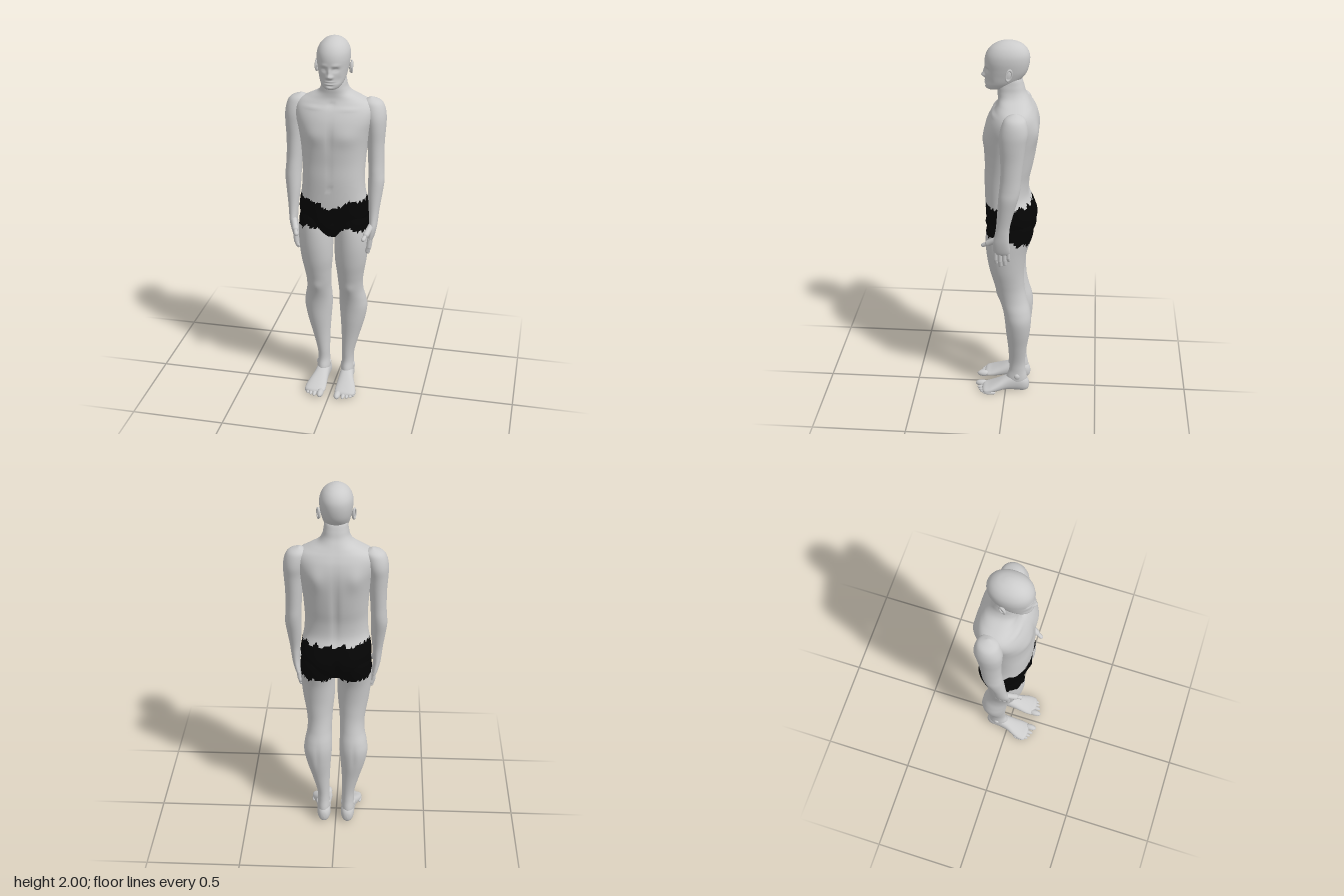
import * as THREE from 'three';
import { mergeVertices } from 'three/addons/utils/BufferGeometryUtils.js';

const skin = new THREE.MeshStandardMaterial({ color: 0xcccccc });
const cloth = new THREE.MeshStandardMaterial({ color: 0x050505 });

const cubic = (a, b, c, d, t) =>
  b + 0.5 * t * (c - a + t * (2 * a - 5 * b + 4 * c - d + t * (3 * (b - c) + d - a)));

// Smooth loft upward through sections [y, centreX, halfWidth, zFront, zBack].
// Bumps [x, y, spreadX, spreadY, depth, side] push the front (1) or back (-1), mirrored in x.
function loft(sections, { cols = 40, steps = 5, power = 2, s = 1, bumps = [] } = {}) {
  const pos = [], idx = [], last = sections.length - 1, rows = last * steps;
  const at = (i) => sections[Math.min(last, Math.max(0, i))];
  for (let r = 0; r <= rows; r++) {
    const i = Math.min(last - 1, Math.floor(r / steps)), t = r / steps - i;
    const [y, cx, w, zf, zb] = at(i).map((v, k) => cubic(at(i - 1)[k], v, at(i + 1)[k], at(i + 2)[k], t));
    const zc = (zf + zb) / 2, h = (zf - zb) / 2;
    for (let c = 0; c <= cols; c++) {
      const a = ((c % cols) / cols) * Math.PI * 2, ca = Math.cos(a), sa = Math.sin(a);
      const x = cx * s + Math.max(0, w) * Math.sign(ca) * Math.abs(ca) ** (2 / power);
      let z = zc + h * Math.sign(sa) * Math.abs(sa) ** (2 / power);
      const depth = z - zc;
      for (const [bx, by, sx, sy, d, side] of bumps) {
        const k = Math.min(1, Math.max(0, (side * depth) / 0.03));
        const dx = bx ? Math.abs(x) - bx : x;
        z += side * d * k * Math.exp(-((dx / sx) ** 2) - ((y - by) / sy) ** 2);
      }
      pos.push(x, y, z);
      if (r < rows && c < cols) {
        const p = r * (cols + 1) + c, u = p + cols + 1;
        idx.push(p, u, p + 1, p + 1, u, u + 1);
      }
    }
  }
  let g = new THREE.BufferGeometry();
  g.setAttribute('position', new THREE.Float32BufferAttribute(pos, 3));
  g.setIndex(idx);
  g = mergeVertices(g, 1e-5);
  g.computeVertexNormals();
  return g;
}

function add(group, name, geometry, material = skin) {
  const m = new THREE.Mesh(geometry, material);
  m.name = name;
  group.add(m);
  return m;
}

// Splits a surface into skin and shorts, triangle by triangle
function addDressed(group, name, g, covered) {
  const p = g.attributes.position, index = g.index.array, parts = [[], []];
  const mid = (f, i) => (p[f](index[i]) + p[f](index[i + 1]) + p[f](index[i + 2])) / 3;
  for (let i = 0; i < index.length; i += 3) {
    const k = covered(mid('getX', i), mid('getY', i), mid('getZ', i)) ? 1 : 0;
    parts[k].push(index[i], index[i + 1], index[i + 2]);
  }
  parts.forEach((list, k) => {
    const part = g.clone();
    part.setIndex(list);
    add(group, k ? name + 'Shorts' : name, part, k ? cloth : skin);
  });
}

// Rounded rod between two points
function rod(group, name, a, b, radius) {
  const from = new THREE.Vector3(...a), to = new THREE.Vector3(...b), dir = to.clone().sub(from);
  const m = add(group, name, new THREE.CapsuleGeometry(radius, dir.length(), 6, 14));
  m.position.copy(from).add(to).multiplyScalar(0.5);
  m.quaternion.setFromUnitVectors(new THREE.Vector3(0, 1, 0), dir.normalize());
}

function ball(group, name, at, size) {
  const m = add(group, name, new THREE.SphereGeometry(1, 20, 14));
  m.position.set(...at);
  m.scale.set(...size);
  return m;
}

// Ragged waist and leg edges of the shorts
const ragged = (x, z) => 0.008 * Math.sin(x * 85 + z * 60) + 0.005 * Math.sin(x * 190 - z * 130);
const belowWaist = (x, y, z) =>
  y < 1.16 - (z > 0 ? 0.04 * Math.exp(-((x / 0.06) ** 2)) : 0) + ragged(x, z);
const aboveHem = (x, y, z) =>
  y > 0.985 + 0.25 * z - 0.03 * Math.exp(-((x / 0.05) ** 2)) + ragged(x, z);

const TORSO = [
  [0.92, 0, 0, -0.01, -0.03], [0.94, 0, 0.05, 0.05, -0.08], [0.98, 0, 0.12, 0.085, -0.13],
  [1.02, 0, 0.165, 0.1, -0.152], [1.08, 0, 0.184, 0.105, -0.158], [1.14, 0, 0.178, 0.108, -0.142],
  [1.2, 0, 0.166, 0.11, -0.118], [1.28, 0, 0.161, 0.112, -0.12], [1.36, 0, 0.164, 0.11, -0.137],
  [1.44, 0, 0.171, 0.113, -0.152], [1.52, 0, 0.184, 0.114, -0.163], [1.58, 0, 0.198, 0.104, -0.164],
  [1.63, 0, 0.2, 0.082, -0.155], [1.665, 0, 0.182, 0.057, -0.14], [1.69, 0, 0.135, 0.045, -0.126],
  [1.715, 0, 0.088, 0.043, -0.112], [1.745, 0, 0.068, 0.045, -0.096], [1.78, 0, 0.061, 0.042, -0.086],
  [1.82, 0, 0.05, 0.02, -0.07], [1.84, 0, 0, -0.02, -0.03],
];
const TORSO_BUMPS = [
  [0.085, 1.51, 0.06, 0.045, 0.008, 1], [0, 1.5, 0.014, 0.08, -0.005, 1], [0, 1.235, 0.008, 0.01, -0.009, 1],
  [0, 1.33, 0.012, 0.06, -0.003, 1], [0.09, 1.648, 0.05, 0.008, 0.005, 1], [0, 1.665, 0.016, 0.012, -0.006, 1],
  [0, 1.01, 0.03, 0.03, 0.012, 1], [0, 1.38, 0.016, 0.2, -0.009, -1], [0.1, 1.55, 0.04, 0.06, 0.011, -1],
  [0.085, 1.05, 0.05, 0.045, 0.008, -1], [0, 1.02, 0.014, 0.06, -0.02, -1],
];
const HEAD = [
  [1.75, 0, 0, 0.07, 0.06], [1.753, 0, 0.022, 0.09, 0.03], [1.76, 0, 0.04, 0.1, 0],
  [1.778, 0, 0.055, 0.105, -0.035], [1.8, 0, 0.065, 0.104, -0.065], [1.83, 0, 0.072, 0.105, -0.092],
  [1.86, 0, 0.078, 0.106, -0.107], [1.9, 0, 0.083, 0.108, -0.115], [1.935, 0, 0.08, 0.1, -0.113],
  [1.965, 0, 0.066, 0.08, -0.097], [1.986, 0, 0.044, 0.05, -0.07], [1.997, 0, 0.02, 0.018, -0.036],
  [2.0, 0, 0, -0.009, -0.01],
];
const FACE = [
  [0, 1.823, 0.012, 0.012, 0.019, 1], [0, 1.845, 0.009, 0.018, 0.01, 1], [0.013, 1.82, 0.007, 0.007, 0.007, 1],
  [0.03, 1.876, 0.02, 0.009, 0.005, 1], [0.03, 1.857, 0.015, 0.011, -0.012, 1],
  [0.031, 1.855, 0.009, 0.006, 0.005, 1], [0, 1.797, 0.02, 0.004, 0.006, 1], [0, 1.785, 0.017, 0.005, 0.005, 1],
  [0, 1.791, 0.024, 0.002, -0.004, 1], [0, 1.776, 0.018, 0.004, -0.004, 1], [0, 1.764, 0.018, 0.007, 0.004, 1],
  [0.045, 1.805, 0.014, 0.018, -0.004, 1],
];
const LEG = [
  [0.02, 0.07, 0.025, -0.04, -0.11], [0.08, 0.068, 0.036, -0.005, -0.12], [0.14, 0.068, 0.033, -0.02, -0.11],
  [0.2, 0.07, 0.035, -0.02, -0.108], [0.3, 0.082, 0.049, -0.015, -0.118], [0.4, 0.093, 0.066, -0.005, -0.135],
  [0.48, 0.097, 0.076, 0.002, -0.142], [0.54, 0.094, 0.073, 0.012, -0.135], [0.6, 0.089, 0.066, 0.03, -0.118],
  [0.66, 0.087, 0.067, 0.048, -0.105], [0.72, 0.089, 0.073, 0.065, -0.1], [0.8, 0.092, 0.084, 0.085, -0.101],
  [0.9, 0.096, 0.09, 0.099, -0.115], [1.0, 0.097, 0.09, 0.1, -0.145], [1.06, 0.097, 0.08, 0.085, -0.14],
  [1.12, 0.095, 0.04, 0.04, -0.09], [1.14, 0.095, 0, -0.02, -0.03],
];
const ARM = [
  [0.915, 0.195, 0, 0.01, 0], [0.925, 0.196, 0.013, 0.045, -0.03], [0.95, 0.203, 0.017, 0.053, -0.034],
  [1.0, 0.212, 0.02, 0.053, -0.03], [1.05, 0.214, 0.024, 0.043, -0.03], [1.1, 0.215, 0.028, 0.036, -0.035],
  [1.18, 0.217, 0.037, 0.03, -0.055], [1.25, 0.22, 0.042, 0.025, -0.075], [1.3, 0.218, 0.041, 0.02, -0.085],
  [1.36, 0.215, 0.041, 0.015, -0.09], [1.45, 0.212, 0.044, 0.015, -0.1], [1.53, 0.211, 0.05, 0.02, -0.11],
  [1.59, 0.206, 0.056, 0.02, -0.12], [1.64, 0.197, 0.055, 0.008, -0.115], [1.67, 0.188, 0.042, -0.01, -0.1],
  [1.688, 0.18, 0, -0.05, -0.06],
];
// Foot sections run heel to toe: [z, centreX, halfWidth, -bottom, -top]
const FOOT = [
  [-0.132, 0.066, 0, -0.04, -0.045], [-0.125, 0.066, 0.02, -0.014, -0.075], [-0.1, 0.066, 0.035, -0.003, -0.1],
  [-0.05, 0.068, 0.038, -0.006, -0.11], [0, 0.072, 0.042, -0.01, -0.09], [0.05, 0.08, 0.052, -0.005, -0.064],
  [0.09, 0.084, 0.057, -0.002, -0.045], [0.12, 0.084, 0.048, -0.005, -0.034], [0.132, 0.084, 0, -0.015, -0.02],
];
// [x, tip z, radius] and [z, tip y, radius]
const TOES = [[0.048, 0.17, 0.018], [0.08, 0.158, 0.012], [0.101, 0.149, 0.011], [0.119, 0.139, 0.011], [0.132, 0.122, 0.01]];
const FINGERS = [[0.041, 0.862, 0.0115], [0.019, 0.845, 0.012], [-0.003, 0.852, 0.0115], [-0.023, 0.878, 0.01]];

export function createModel() {
  const model = new THREE.Group();
  model.name = 'standingMan';

  addDressed(model, 'torso', loft(TORSO, { cols: 96, power: 2.3, bumps: TORSO_BUMPS }), belowWaist);
  add(model, 'head', loft(HEAD, { cols: 112, steps: 7, power: 2.1, bumps: FACE }));

  for (const s of [1, -1]) {
    const side = new THREE.Group();
    side.name = s > 0 ? 'leftSide' : 'rightSide';
    model.add(side);

    // Ear: flat shell with a raised rim
    ball(side, 'ear', [0.083 * s, 1.845, -0.014], [0.007, 0.028, 0.015]).rotation.set(-0.2, 0.3 * s, 0);
    const rim = add(side, 'earRim', new THREE.TorusGeometry(0.02, 0.005, 8, 24));
    rim.position.set(0.088 * s, 1.848, -0.017);
    rim.rotation.set(-0.2, Math.PI / 2 + 0.35 * s, 0);
    rim.scale.set(0.75, 1.35, 1);

    // Arm, hand and fingers
    add(side, 'arm', loft(ARM, { s }));
    for (const [z, tip, r] of FINGERS) {
      rod(side, 'fingerBase', [0.199 * s, 0.94, z], [0.195 * s, (0.93 + tip) / 2, z], r);
      rod(side, 'fingerTip', [0.195 * s, (0.93 + tip) / 2, z], [0.187 * s, tip + r, z - 0.002], r * 0.92);
    }
    rod(side, 'thumbBase', [0.206 * s, 1.015, 0.035], [0.188 * s, 0.983, 0.08], 0.016);
    rod(side, 'thumbTip', [0.188 * s, 0.983, 0.08], [0.178 * s, 0.966, 0.107], 0.011);

    // Leg with kneecap, foot and toes
    const knee = [[0.088, 0.63, 0.03, 0.03, 0.006, 1], [0.098, 0.46, 0.012, 0.08, -0.004, -1]];
    addDressed(side, 'leg', loft(LEG, { s, cols: 48, steps: 6, bumps: knee }), aboveHem);
    add(side, 'foot', loft(FOOT, { s, power: 2.2 }).rotateX(Math.PI / 2));
    for (const [x, tip, r] of TOES) ball(side, 'toe', [x * s, r + 0.002, tip - 0.036], [r, r, 0.036]);
    for (const x of [0.038, 0.1]) ball(side, 'ankleBone', [x * s, 0.105, -0.065], [0.01, 0.017, 0.016]);
  }
  return model;
}
